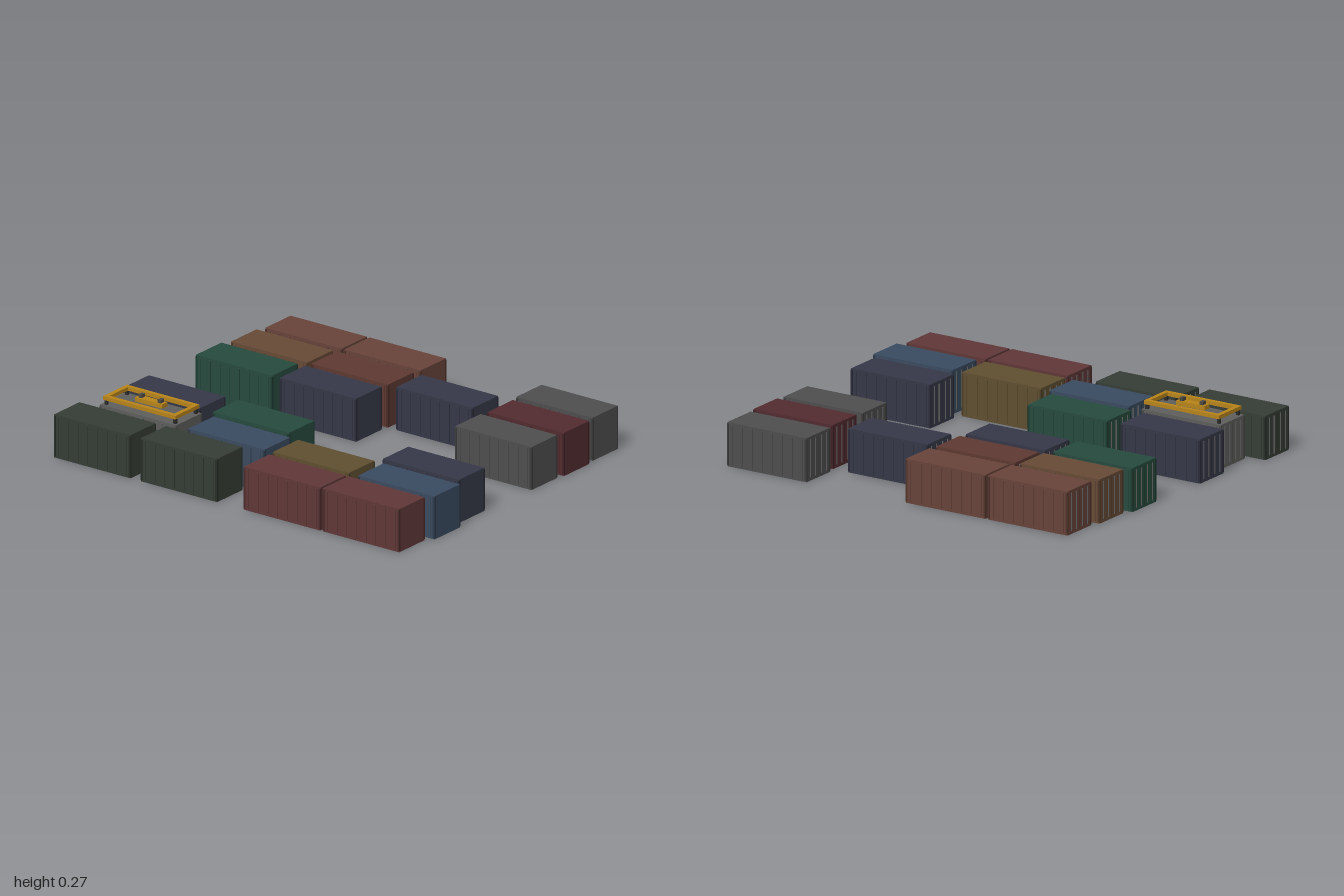
import * as THREE from 'three';

const W = 0.19, H = 0.21, L = 0.434;

function mat(color) {
  return new THREE.MeshStandardMaterial({ color });
}

function box(parent, name, size, pos, material) {
  const m = new THREE.Mesh(new THREE.BoxGeometry(...size), material);
  m.name = name;
  m.position.set(...pos);
  parent.add(m);
  return m;
}

// One shipping container: body, side ribs, corner posts, doors at the back
function container(color, x, z) {
  const g = new THREE.Group();
  g.name = 'container';
  g.position.set(x, 0, z);
  const skin = mat(color);
  const dark = mat(new THREE.Color(color).multiplyScalar(0.6));
  const steel = mat(0x666666);
  box(g, 'body', [W, H, L], [0, H / 2, 0], skin);
  for (const s of [-1, 1]) {
    for (let i = 0; i < 8; i++) {
      box(g, 'sideRib', [0.005, H - 0.02, 0.008],
        [s * (W / 2 + 0.0015), H / 2, (i - 3.5) * 0.055], skin);
    }
    for (const e of [-1, 1]) {
      box(g, 'cornerPost', [0.01, H - 0.012, 0.01],
        [s * (W / 2 - 0.003), H / 2, e * (L / 2 - 0.004)], dark);
    }
    // Locking rods on each door leaf
    for (const dx of [0.025, 0.065]) {
      box(g, 'lockRod', [0.004, H - 0.03, 0.004],
        [s * dx, H / 2, -L / 2 - 0.0015], steel);
    }
  }
  box(g, 'doorSeam', [0.004, H - 0.02, 0.002], [0, H / 2, -L / 2], dark);
  return g;
}

// Lifting frame resting on top of one container
function spreader(x, z) {
  const g = new THREE.Group();
  g.name = 'spreader';
  g.position.set(x, 0, z);
  const yellow = mat(0xb8841a), dark = mat(0x2c2c2c), steel = mat(0x4c4a44);
  const fw = 0.18, fl = 0.412, b = 0.022, y = 0.243;
  for (const s of [-1, 1]) {
    box(g, 'longBeam', [b, 0.018, fl], [s * (fw - b) / 2, y, 0], yellow);
    box(g, 'endBeam', [fw, 0.018, b], [0, y, s * (fl - b) / 2], yellow);
    for (const e of [-1, 1]) {
      box(g, 'twistLock', [0.014, 0.026, 0.014],
        [s * 0.077, 0.222, e * 0.196], dark);
    }
    box(g, 'sheaveBlock', [0.026, 0.018, 0.018], [0, 0.262, s * 0.055], steel);
  }
  box(g, 'headPlate', [0.04, 0.02, 0.155], [0, 0.245, 0], yellow);
  return g;
}

export function createModel() {
  const root = new THREE.Group();
  root.name = 'containerYard';

  const red = 0x603838, blue = 0x3a4b60, navy = 0x363848, olive = 0x363d36,
    green = 0x274b3e, brown = 0x674a36, rust = 0x68443a, umber = 0x5e3a32,
    mustard = 0x5f4f30, maroon = 0x522c30, grey = 0x4e4e4e, paleGrey = 0x5e5e5c;

  // Each column: x, then [centre z, colour] from back to front
  const columns = [
    [-0.72, [[-0.783, olive], [-0.29, olive], [0.298, red], [0.747, red]]],
    [-0.495, [[-0.692, paleGrey], [-0.19, blue], [0.292, mustard], [0.778, blue]]],
    [-0.262, [[-0.735, navy], [-0.227, green], [0.742, navy]]],
    [0.262, [[-0.719, green], [-0.242, navy], [0.757, grey]]],
    [0.49, [[-0.692, brown], [-0.233, umber], [0.249, navy], [0.768, maroon]]],
    [0.72, [[-0.672, rust], [-0.222, rust], [0.757, grey]]],
  ];
  for (const [x, list] of columns) {
    for (const [z, color] of list) root.add(container(color, x, z));
  }
  root.add(spreader(-0.495, -0.69));
  return root;
}
